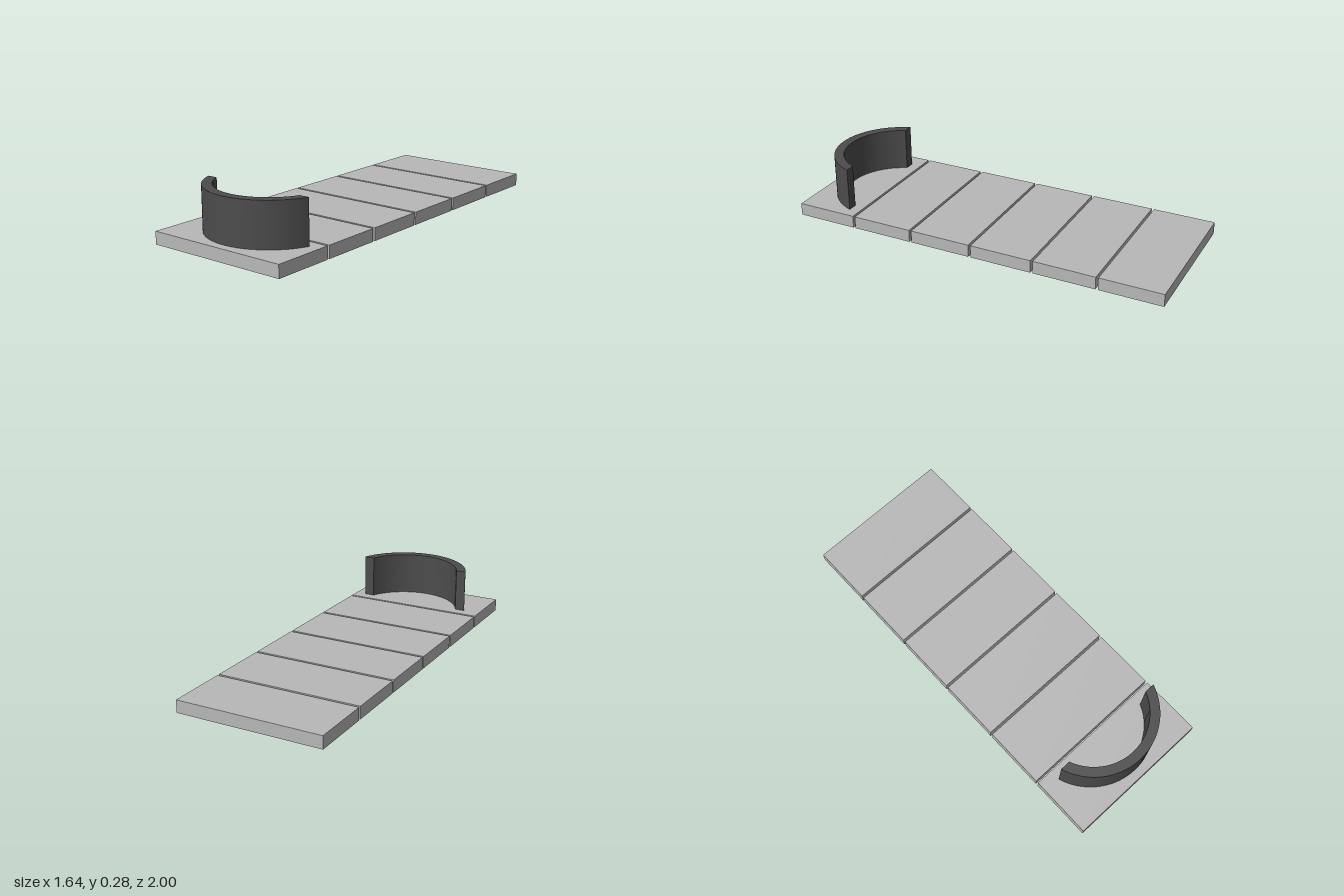
import * as THREE from 'three';

const PLANKS = 6, WIDTH = 0.73, THICK = 0.062, LENGTH = 1.9, GAP = 0.012;
const PITCH = (LENGTH + GAP) / PLANKS;

export function createModel() {
  const model = new THREE.Group();
  model.name = 'deckWithScreen';

  const lightGrey = new THREE.MeshStandardMaterial({ color: 0xb8b8b8 });
  lightGrey.name = 'lightGrey';
  const darkGrey = new THREE.MeshStandardMaterial({ color: 0x4c4c4c });
  darkGrey.name = 'darkGrey';

  // Row of equal slabs with narrow gaps
  const slabs = new THREE.Group();
  slabs.name = 'slabs';
  const slabGeometry = new THREE.BoxGeometry(WIDTH, THICK, PITCH - GAP);
  for (let i = 0; i < PLANKS; i++) {
    const slab = new THREE.Mesh(slabGeometry, lightGrey);
    slab.name = `slab${i + 1}`;
    slab.position.set(0, THICK / 2, (i - (PLANKS - 1) / 2) * PITCH);
    slabs.add(slab);
  }
  model.add(slabs);

  // Curved wall, its ends cut square to the deck
  const outer = 0.3135, inner = 0.266, cut = 0.103, top = 0.277;
  const outerHalf = Math.acos(cut / outer), innerHalf = Math.acos(cut / inner);
  const mid = Math.PI / 2;
  const arc = new THREE.Shape();
  arc.absarc(0, 0, outer, mid - outerHalf, mid + outerHalf, false);
  arc.absarc(0, 0, inner, mid + innerHalf, mid - innerHalf, true);
  arc.closePath();
  const wallGeometry = new THREE.ExtrudeGeometry(arc, {
    depth: top - THICK, bevelEnabled: false, curveSegments: 24,
  });
  wallGeometry.rotateX(Math.PI / 2);
  const wall = new THREE.Mesh(wallGeometry, darkGrey);
  wall.name = 'curvedWall';
  wall.position.set(0.015, top, 0.594);
  model.add(wall);

  // The whole deck stands at an angle
  model.rotation.y = -0.566;
  return model;
}
